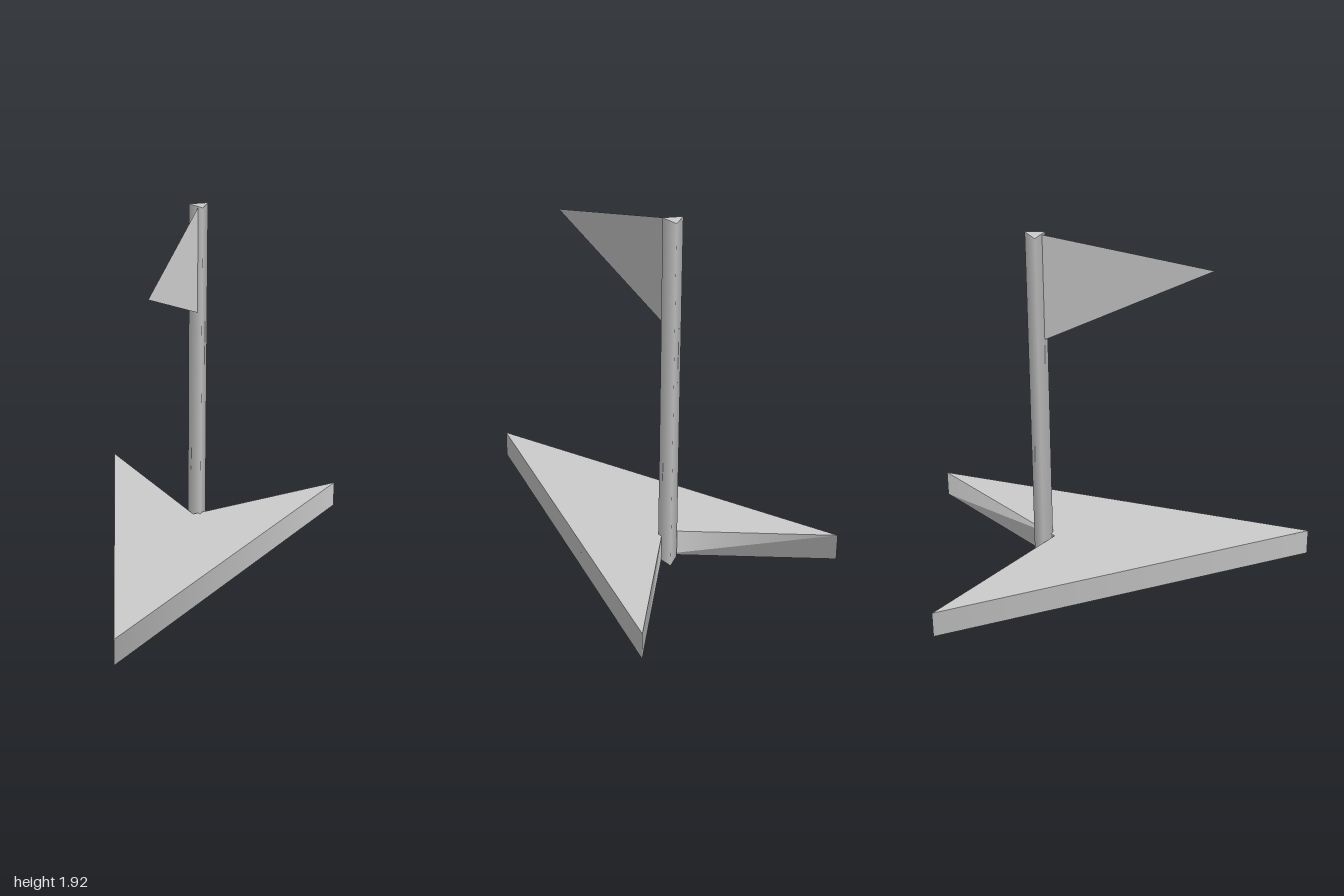
import * as THREE from 'three';

export function createModel() {
  const group = new THREE.Group();
  const add = (name, geometry, side = THREE.FrontSide) => {
    const mesh = new THREE.Mesh(geometry, new THREE.MeshStandardMaterial({ color: 0xcccccc, side }));
    mesh.name = name;
    group.add(mesh);
    return mesh;
  };

  // Arrowhead base: a four-sided prism with its wings swept back around a notch
  const height = 0.147;
  const base = new THREE.CylinderGeometry(1, 1, height, 4);
  base.translate(0, height / 2, 0);
  const p = base.attributes.position;
  for (let i = 0; i < p.count; i++) {
    if (Math.abs(p.getX(i)) > 0.5) {
      p.setX(i, Math.sign(p.getX(i)) * 0.673);
      p.setZ(i, -1);
    } else {
      p.setX(i, 0);
      if (p.getZ(i) < -0.5) p.setZ(i, -0.38);
    }
  }
  add('base', base);

  // Three-sided pole standing in the notch
  const pole = add('pole', new THREE.CylinderGeometry(0.058, 0.058, 1.92, 3, 1, false, -Math.PI / 2));
  pole.position.set(0.01, 0.96, -0.44);

  // Thin pennant pointing forward
  const pennant = new THREE.Shape([
    new THREE.Vector2(-0.405, 1.337),
    new THREE.Vector2(0.45, 1.705),
    new THREE.Vector2(-0.405, 1.915),
  ]);
  const flag = add('flag', new THREE.ShapeGeometry(pennant), THREE.DoubleSide);
  flag.rotation.y = -Math.PI / 2;
  flag.position.x = 0.01;

  return group;
}
